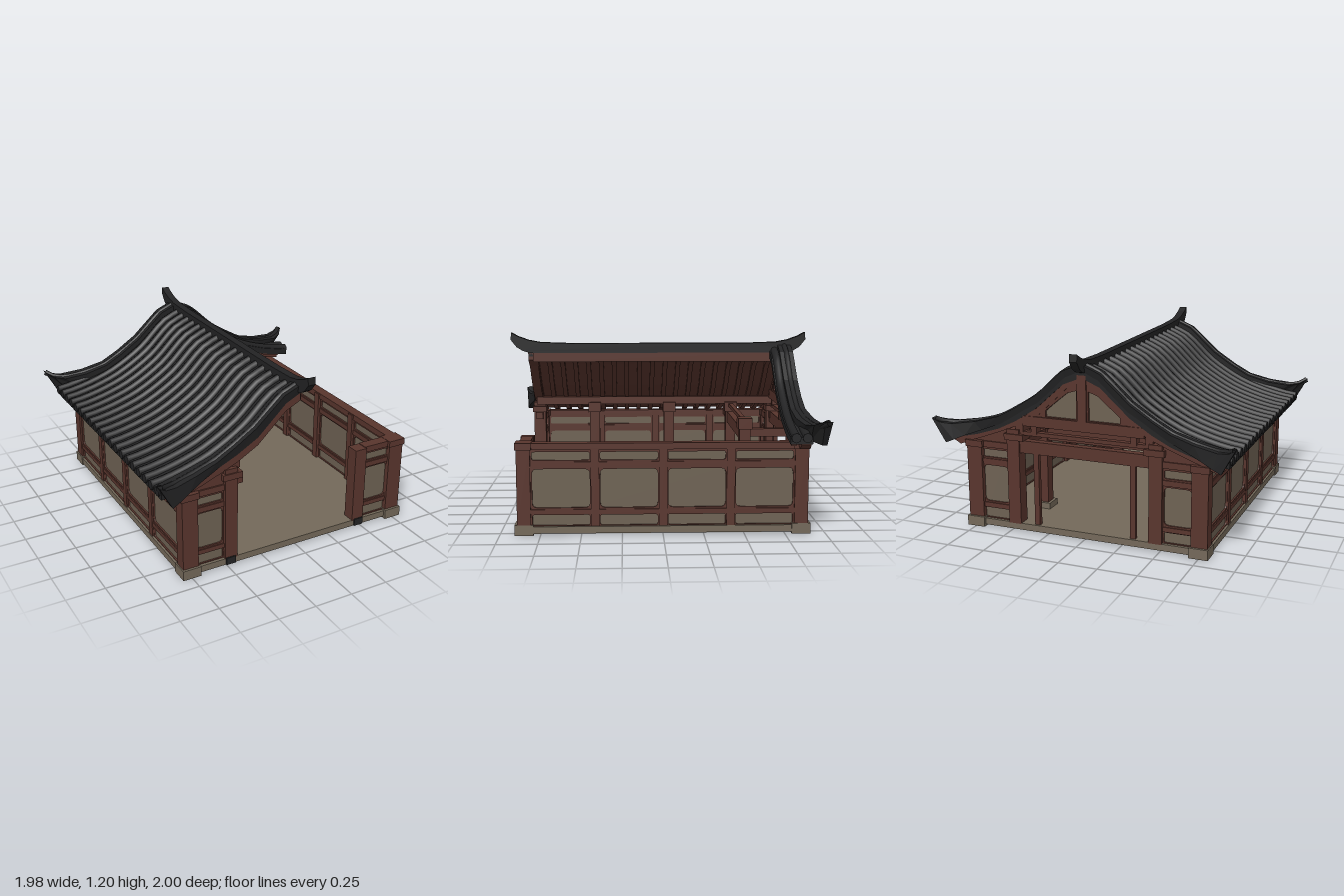
import * as THREE from 'three';

const mat = (name, color, side = THREE.FrontSide) => {
  const m = new THREE.MeshStandardMaterial({ color, side });
  m.name = name;
  return m;
};

export function createModel() {
  const model = new THREE.Group();
  model.name = 'cutawayHall';
  const wood = mat('redBrownWood', 0x59352d);
  const plaster = mat('plaster', 0x6e6253);
  const stone = mat('stone', 0x74695a);
  const tile = mat('blackTile', 0x232324, THREE.DoubleSide);

  const add = (name, geo, m, parent = model) => {
    const mesh = new THREE.Mesh(geo, m);
    mesh.name = name;
    parent.add(mesh);
    return mesh;
  };
  // box from its extents
  const box = (name, m, x0, x1, y0, y1, z0, z1, parent) => {
    const b = add(name, new THREE.BoxGeometry(Math.abs(x1 - x0), y1 - y0, Math.abs(z1 - z0)), m, parent);
    b.position.set((x0 + x1) / 2, (y0 + y1) / 2, (z0 + z1) / 2);
    return b;
  };
  const poly = pts => new THREE.Shape(pts.map(p => new THREE.Vector2(...p)));
  const extrude = (name, m, shape, z0, z1, parent) => {
    const geo = new THREE.ExtrudeGeometry(shape, { depth: z1 - z0, bevelEnabled: false, curveSegments: 3 });
    geo.translate(0, 0, z0);
    return add(name, geo, m, parent);
  };
  // band between two open curves, mirrored by s
  const band = (top, bottom, s) => poly([...top, ...[...bottom].reverse()].map(([x, y]) => [x * s, y]));
  const lower = (pts, d) => pts.map(([x, y]) => [x, y - d]);
  const roundHole = (x0, x1, y0, y1, r) => {
    const p = new THREE.Path();
    p.moveTo(x0 + r, y0).lineTo(x1 - r, y0).quadraticCurveTo(x1, y0, x1, y0 + r)
      .lineTo(x1, y1 - r).quadraticCurveTo(x1, y1, x1 - r, y1)
      .lineTo(x0 + r, y1).quadraticCurveTo(x0, y1, x0, y1 - r)
      .lineTo(x0, y0 + r).quadraticCurveTo(x0, y0, x0 + r, y0);
    return p;
  };

  // timber-framed wall, local x along its length, centred
  function wall(name, length, bays, gap) {
    const g = new THREE.Group();
    g.name = name;
    const h = length / 2, pitch = length / bays;
    const frame = poly([[-h, 0.05], [h, 0.05], [h, 0.565], [-h, 0.565]]);
    for (let i = 0; i < bays; i++) {
      const c = -h + pitch * (i + 0.5), w = pitch / 2 - gap;
      frame.holes.push(roundHole(c - w, c + w, 0.06, 0.125, 0.012),
        roundHole(c - w, c + w, 0.17, 0.41, 0.03), roundHole(c - w, c + w, 0.465, 0.515, 0.012));
    }
    extrude('wallFrame', wood, frame, -0.025, 0.025, g);
    box('plasterInfill', plaster, -h, h, 0.05, 0.55, -0.014, 0.014, g);
    box('topPlate', wood, -h, h, 0.53, 0.57, -0.035, 0.035, g);
    box('middleRail', wood, -h, h, 0.42, 0.455, -0.032, 0.032, g);
    box('lowerRail', wood, -h, h, 0.13, 0.16, -0.032, 0.032, g);
    box('sill', stone, -h, h, 0.02, 0.055, -0.038, 0.038, g);
    for (let i = 1; i < bays; i++) {
      const c = -h + pitch * i;
      box('wallPost', wood, c - 0.026, c + 0.026, 0.05, 0.565, -0.035, 0.045, g);
    }
    model.add(g);
    return g;
  }

  // floor
  box('floorSlab', stone, -0.805, 0.805, 0.012, 0.055, -0.89, 0.89);

  for (const s of [-1, 1]) {
    // long side walls
    const side = wall('sideWall', 1.66, 4, 0.032);
    side.position.x = s * 0.765;
    side.rotation.y = -s * Math.PI / 2;
    for (const f of [-1, 1]) {
      // short end walls, corner posts and door posts
      wall('endWall', 0.2, 1, 0.012).position.set(s * 0.61, 0, f * 0.845);
      const x = s * 0.75, z = f * 0.85;
      box('cornerPost', wood, x - 0.052, x + 0.052, 0.06, 0.565, z - 0.042, z + 0.042);
      box('cornerCap', wood, x - 0.06, x + 0.06, 0.53, 0.572, z - 0.05, z + 0.05);
      box('cornerFoot', stone, x - 0.06, x + 0.06, 0, 0.065, z - 0.058, z + 0.058);
      const cut = f > 0 && s > 0;
      box('doorPost', wood, s * 0.43, s * 0.515, 0.05, cut ? 0.565 : 0.67, z - 0.042, z + 0.042);
      if (f > 0) box('doorPostFoot', tile, s * 0.445, s * 0.51, 0.014, 0.062, 0.86, 0.9);
      if (!cut) {
        box('doorCapital', wood, s * 0.4, s * 0.53, 0.6, 0.64, z - 0.05, z + 0.05);
        box('doorBracket', wood, s * 0.385, s * 0.44, 0.55, 0.6, z - 0.025, z + 0.025);
        extrude('eaveInfill', wood, poly([[s * 0.5, 0.56], [s * 0.78, 0.56], [s * 0.5, 0.69]]), z - 0.02, z + 0.02);
      }
    }
    // back door jamb and gable strut
    box('doorJamb', wood, s * 0.305, s * 0.34, 0.055, 0.53, -0.875, -0.845);
    box('gableStrut', wood, s * 0.31, s * 0.35, 0.65, 0.73, -0.88, -0.83);
  }

  // inner columns with feet, capitals and ties
  for (const [x, z] of [[-0.43, -0.54], [-0.43, -0.09], [-0.43, 0.45], [0.43, -0.54]]) {
    box('columnFoot', stone, x - 0.055, x + 0.055, 0.05, 0.095, z - 0.055, z + 0.055);
    box('column', wood, x - 0.036, x + 0.036, 0.09, 0.62, z - 0.036, z + 0.036);
    box('columnCapital', wood, x - 0.05, x + 0.05, 0.6, 0.67, z - 0.045, z + 0.045);
    if (x < 0) box('sideTie', wood, -0.77, x, 0.54, 0.59, z - 0.022, z + 0.022);
  }
  box('innerCrossBeam', wood, -0.41, 0.41, 0.52, 0.6, -0.565, -0.515);
  box('innerUpperBeam', wood, -0.41, 0.41, 0.635, 0.66, -0.555, -0.525);
  box('backTie', wood, 0.405, 0.455, 0.55, 0.6, -0.85, -0.54);
  box('leftPurlin', wood, -0.455, -0.405, 0.655, 0.71, -0.88, 0.87);
  box('rightPurlin', wood, 0.405, 0.455, 0.655, 0.71, -0.88, -0.76);
  box('ridgePurlin', wood, -0.025, 0.025, 1.0, 1.06, -0.86, 0.85);

  // back end beams and gable
  box('backLintel', wood, -0.43, 0.43, 0.52, 0.6, -0.88, -0.83);
  box('backUpperBeam', wood, -0.43, 0.43, 0.635, 0.66, -0.875, -0.835);
  box('gableTieBeam', wood, -0.4, 0.4, 0.7, 0.765, -0.89, -0.82);
  box('kingPost', wood, -0.03, 0.03, 0.72, 1.05, -0.89, -0.82);
  const gable = poly([[-0.42, 0.72], [0.42, 0.72], [0.29, 0.83], [0.1, 1.0], [0, 1.06], [-0.1, 1.0], [-0.29, 0.83]]);
  for (const s of [-1, 1]) {
    const opening = [[0.04, 0.77], [0.245, 0.77], [0.245, 0.81], [0.1, 0.93], [0.04, 0.95]];
    gable.holes.push(new THREE.Path(opening.map(([x, y]) => new THREE.Vector2(s * x, y))));
  }
  extrude('gableFrame', wood, gable, -0.88, -0.83);
  extrude('gablePlaster', plaster, poly([[-0.3, 0.76], [0.3, 0.76], [0, 1.02]]), -0.865, -0.845);

  // roof curves, from ridge to eave
  const tileTop = [[0, 1.08], [0.12, 1.03], [0.31, 0.86], [0.45, 0.77], [0.57, 0.71], [0.72, 0.66], [0.85, 0.63], [0.925, 0.62]];
  const vergeTop = [[0, 1.12], [0.12, 1.07], [0.31, 0.9], [0.45, 0.81], [0.57, 0.745], [0.72, 0.705], [0.87, 0.685], [0.94, 0.695], [0.985, 0.72]];
  const vergeBot = [[0, 1.06], [0.1, 1.01], [0.29, 0.83], [0.43, 0.75], [0.55, 0.7], [0.68, 0.65], [0.78, 0.615], [0.85, 0.585], [0.9, 0.565]];
  const outerZ = [0.9, 0.9, 0.9, 0.9, 0.905, 0.93, 0.965, 0.985, 0.995];
  const innerZ = [0.81, 0.81, 0.81, 0.81, 0.81, 0.82, 0.85, 0.89, 0.95];
  const under = lower(tileTop, 0.045).slice(0, -1);

  function roofSlope(s, z0, z1) {
    const g = new THREE.Group();
    g.name = s < 0 ? 'leftRoof' : 'rightRoofStrip';
    extrude('tileBed', tile, band(tileTop, lower(tileTop, 0.045), s), z0, z1, g);
    extrude('roofBoards', wood, band(under, lower(under, 0.008), s), z0 + 0.01, z1 - 0.005, g);
    const n = Math.round((z1 - z0) / 0.089);
    for (let i = 0; i < n; i++) {
      const z = z0 + (i + 0.5) * (z1 - z0) / n;
      const path = new THREE.CatmullRomCurve3(tileTop.map(([x, y]) => new THREE.Vector3(s * x, y, z)));
      add('tileRoll', new THREE.TubeGeometry(path, 16, 0.026, 8), tile, g);
      const end = add('eaveTile', new THREE.CylinderGeometry(0.03, 0.03, 0.025, 8), tile, g);
      end.rotation.z = Math.PI / 2;
      end.position.set(s * 0.922, 0.615, z);
      extrude('rafter', wood, band(under, lower(under, 0.03), s), z - 0.016, z + 0.016, g);
    }
    model.add(g);
  }
  roofSlope(-1, -0.89, 0.88);
  roofSlope(1, -0.89, -0.755);

  // upswept verge: four-cornered sections joined into a closed sweep
  function verge(s, f) {
    const rings = vergeTop.map(([x, y], i) => {
      const [bx, by] = vergeBot[i], o = f * outerZ[i], n = f * innerZ[i];
      return [[s * x, y, n], [s * x, y, o], [s * bx, by, o - f * 0.015], [s * bx, by, n]];
    });
    const pos = [];
    const quad = (a, b, c, d) => pos.push(...a, ...b, ...c, ...a, ...c, ...d);
    for (let i = 0; i < rings.length - 1; i++) {
      for (let k = 0; k < 4; k++) {
        const l = (k + 1) % 4;
        quad(rings[i][k], rings[i][l], rings[i + 1][l], rings[i + 1][k]);
      }
    }
    quad(...rings[rings.length - 1]);
    quad(...[...rings[0]].reverse());
    const geo = new THREE.BufferGeometry();
    geo.setAttribute('position', new THREE.Float32BufferAttribute(pos, 3));
    geo.computeVertexNormals();
    add('verge', geo, tile);
    // round roll along the verge
    const path = new THREE.CatmullRomCurve3(vergeTop.map(([x, y], i) =>
      new THREE.Vector3(s * (x - 0.008), y - 0.008, f * (outerZ[i] + innerZ[i]) / 2)));
    add('vergeRoll', new THREE.TubeGeometry(path, 20, 0.02, 8), tile);
    // timber bargeboard below
    const z = f * 0.855;
    extrude('bargeboard', wood, band(vergeBot, lower(vergeBot, 0.05).slice(0, -1).concat([[0.895, 0.56]]), s), z - 0.03, z + 0.03);
  }
  verge(-1, 1);
  verge(-1, -1);
  verge(1, -1);

  // ridge with upturned ends
  const top = [[0, 1.125], [0.6, 1.125], [0.8, 1.132], [0.88, 1.147], [0.95, 1.172], [0.995, 1.197]];
  const bottom = [[0, 1.06], [0.87, 1.06], [0.92, 1.075], [0.96, 1.1], [1, 1.15]];
  const mirror = pts => pts.slice(1).reverse().map(([x, y]) => [-x, y]).concat(pts);
  const ridge = extrude('ridge', tile, band(mirror(top), mirror(bottom), 1), -0.025, 0.025);
  ridge.rotation.y = Math.PI / 2;

  return model;
}
